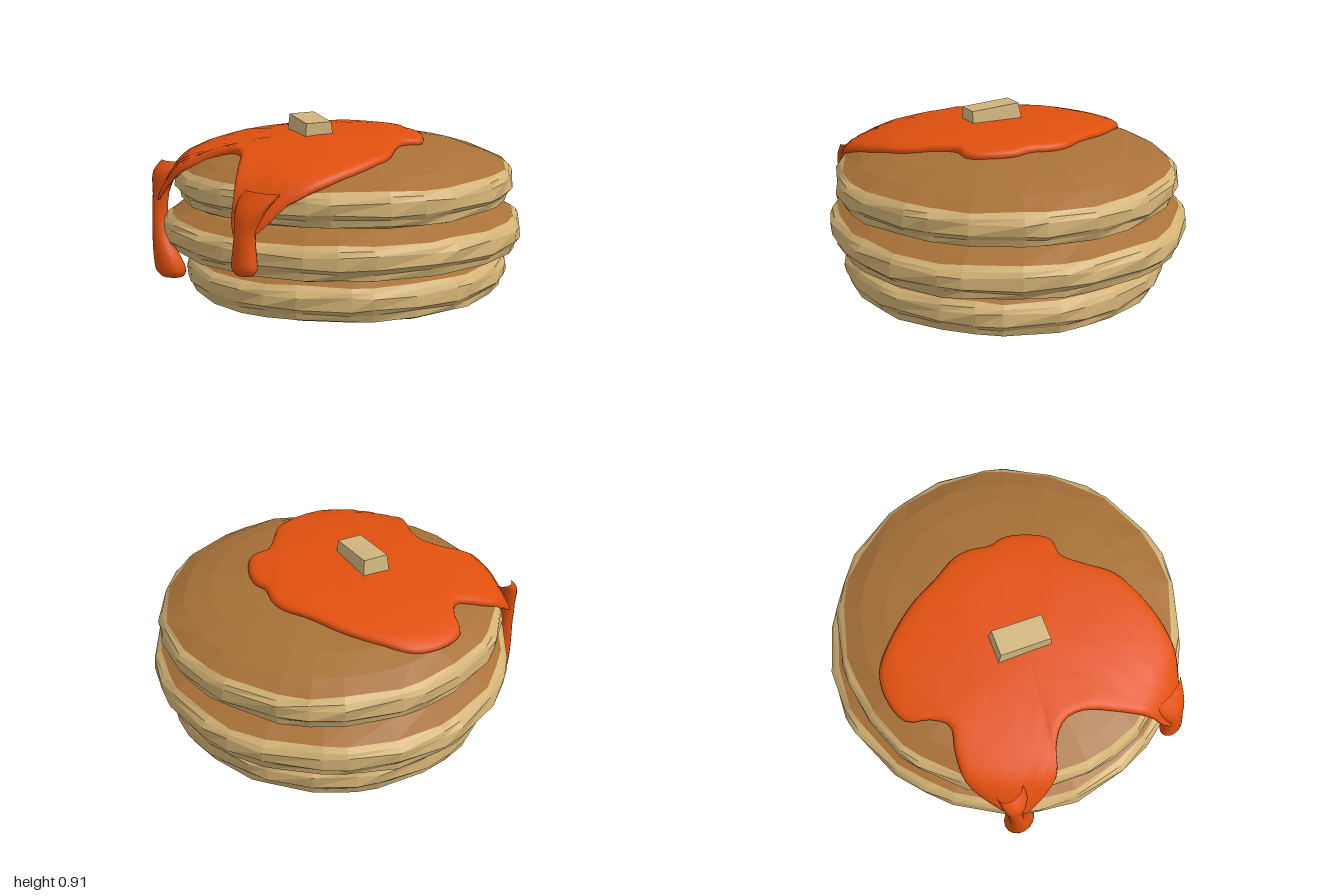
import * as THREE from 'three';

const mat = (name, color, extra = {}) =>
  Object.assign(new THREE.MeshStandardMaterial({ color, ...extra }), { name });

// Skin a list of closed rings (bottom to top, counterclockwise seen from above)
function loft(rings) {
  const n = rings[0].length, pos = [], idx = [];
  rings.forEach(r => r.forEach(p => pos.push(...p)));
  for (let i = 0; i < rings.length - 1; i++) {
    for (let j = 0; j < n; j++) {
      const k = (j + 1) % n, a = i * n + j, b = i * n + k, c = b + n, d = a + n;
      idx.push(a, b, c, a, c, d);
    }
  }
  const g = new THREE.BufferGeometry();
  g.setAttribute('position', new THREE.Float32BufferAttribute(pos, 3));
  g.setIndex(idx);
  g.computeVertexNormals();
  return g;
}

function addMesh(parent, name, geometry, material) {
  const m = new THREE.Mesh(geometry, material);
  m.name = name;
  parent.add(m);
  return m;
}

// Straight-line lookup in a list of [radius, height] pairs
function lookup(table, r) {
  for (let i = 1; i < table.length; i++) {
    const [r0, y0] = table[i - 1], [r1, y1] = table[i];
    if (r <= r1) return y0 + (y1 - y0) * (r - r0) / (r1 - r0);
  }
  return table[table.length - 1][1];
}

// Pancake profile as [radius fraction, height, raggedness]
const UNDERSIDE = [[0, 0.006, 0], [0.5, 0.003, 0], [0.91, 0, 0.014]];
const SIDE = [[0.91, 0, 0.014], [0.965, 0.015, 0.004], [0.975, 0.05, 0.006], [1, 0.075, 0.005],
  [0.998, 0.135, 0.006], [0.982, 0.16, 0.004], [0.955, 0.182, 0.006]];
const DOME = [[0.955, 0.182, 0.006], [0.85, 0.23, 0.002], [0.7, 0.272, 0], [0.5, 0.303, 0],
  [0.25, 0.328, 0], [0, 0.335, 0]];

function pancake({ name, R, x, y, z, seed, top }, mats) {
  const g = new THREE.Group();
  g.name = name;
  g.position.set(x, y, z);
  const n = 28;
  const ring = ([f, h, rag]) => Array.from({ length: n }, (_, j) => {
    const a = (j + 0.25 * Math.sin(j * 2.3 + seed)) / n * Math.PI * 2;
    const wave = 1 + 0.007 * Math.sin(3 * a + seed) + 0.005 * Math.sin(5 * a + seed * 2);
    const r = R * f * wave + rag * Math.sin(j * 2.7 + h * 60 + seed);
    const dy = h > 0.01 ? rag * Math.sin(j * 1.9 + h * 40 + seed * 3) : 0;
    return [r * Math.sin(a), Math.min(h + dy, top), r * Math.cos(a)];
  });
  addMesh(g, 'underside', loft(UNDERSIDE.map(ring)), mats.brown);
  addMesh(g, 'side', loft(SIDE.map(ring)), mats.batter);
  addMesh(g, 'brownedTop', loft(DOME.map(ring)), mats.brown);
  return g;
}

// Syrup outline seen from above, [x, z]
const OUTLINE = [[-0.28, -0.43], [-0.1, -0.425], [0.05, -0.43], [0.13, -0.4], [0.22, -0.33], [0.3, -0.31],
  [0.4, -0.22], [0.46, -0.11], [0.42, -0.02], [0.46, 0.1], [0.53, 0.25], [0.535, 0.38], [0.51, 0.55],
  [0.44, 0.74], [0.36, 0.84], [0.28, 0.93], [0.21, 0.98], [0.13, 0.95], [0.08, 0.88], [-0.02, 0.75],
  [-0.15, 0.6], [-0.25, 0.56], [-0.36, 0.6], [-0.48, 0.7], [-0.62, 0.7], [-0.72, 0.66], [-0.78, 0.5],
  [-0.79, 0.37], [-0.72, 0.24], [-0.64, 0.14], [-0.68, 0.04], [-0.76, -0.05], [-0.74, -0.2],
  [-0.65, -0.33], [-0.5, -0.39]];
// Height of the surface the syrup lies on, by distance from the pancake axis
const DRAPE = [[0, 0.8], [0.23, 0.798], [0.455, 0.775], [0.64, 0.742], [0.775, 0.7], [0.87, 0.655],
  [0.92, 0.6], [0.96, 0.52], [1.02, 0.42]];

function syrupSheet(cx, cz) {
  const curve = new THREE.CatmullRomCurve3(
    OUTLINE.map(([x, z]) => new THREE.Vector3(x, 0, z)).reverse(), true, 'centripetal');
  const edge = curve.getSpacedPoints(112).slice(0, -1);
  const ox = -0.1, oz = 0.2;
  // [scale about the centre, thickness above the pancake], underside lip first
  const rows = [[0.92, -0.03], [0.985, -0.012], [1, 0.008], [0.99, 0.024], [0.965, 0.032], [0.92, 0.034],
    [0.86, 0.033], [0.78, 0.032], [0.68, 0.03], [0.55, 0.028], [0.4, 0.027], [0.2, 0.026], [0, 0.026]];
  return loft(rows.map(([t, h]) => edge.map(p => {
    const x = ox + (p.x - ox) * t, z = oz + (p.z - oz) * t;
    return [x, lookup(DRAPE, Math.hypot(x - cx, z - cz)) + h, z];
  })));
}

// Drip from elliptical sections [x, y, z, radiusX, radiusZ], bottom to top
function drip(sections) {
  const path = new THREE.CatmullRomCurve3(sections.map(s => new THREE.Vector3(s[0], s[1], s[2])));
  const size = new THREE.CatmullRomCurve3(sections.map(s => new THREE.Vector3(s[3], s[4], 0)));
  const steps = (sections.length - 1) * 3, n = 16;
  return loft(Array.from({ length: steps + 1 }, (_, i) => {
    const c = path.getPoint(i / steps), s = size.getPoint(i / steps);
    return Array.from({ length: n }, (_, j) => {
      const a = j / n * Math.PI * 2;
      return [c.x + Math.max(s.x, 0) * Math.sin(a), c.y, c.z + Math.max(s.y, 0) * Math.cos(a)];
    });
  }));
}

export function createModel() {
  const model = new THREE.Group();
  model.name = 'pancakeStack';
  const mats = {
    brown: mat('brownedCrust', 0xa87138, { flatShading: true }),
    batter: mat('paleBatter', 0xd2b275, { flatShading: true }),
    syrup: mat('syrup', 0xe0500e),
    butter: mat('butter', 0xd0b67e, { flatShading: true }),
  };

  // Three stacked pancakes
  [
    { name: 'bottomPancake', R: 0.865, x: 0.02, y: 0, z: -0.025, seed: 1, top: 0.235 },
    { name: 'middlePancake', R: 0.957, x: 0, y: 0.22, z: -0.035, seed: 2.6, top: 0.265 },
    { name: 'topPancake', R: 0.905, x: 0.015, y: 0.47, z: -0.03, seed: 4.1, top: 1 },
  ].forEach(p => model.add(pancake(p, mats)));

  // Syrup pool and its two drips
  const syrup = new THREE.Group();
  syrup.name = 'syrup';
  model.add(syrup);
  addMesh(syrup, 'syrupPool', syrupSheet(0.015, -0.03), mats.syrup);
  addMesh(syrup, 'frontDrip', drip([
    [0.21, 0.25, 0.945, 0, 0], [0.21, 0.262, 0.945, 0.05, 0.035], [0.21, 0.3, 0.947, 0.073, 0.052],
    [0.21, 0.36, 0.945, 0.066, 0.05], [0.21, 0.45, 0.94, 0.058, 0.045], [0.215, 0.56, 0.91, 0.085, 0.05],
    [0.23, 0.65, 0.84, 0.12, 0.04]]), mats.syrup);
  addMesh(syrup, 'cornerDrip', drip([
    [-0.67, 0.02, 0.61, 0, 0], [-0.67, 0.03, 0.61, 0.07, 0.055], [-0.67, 0.07, 0.62, 0.09, 0.075],
    [-0.68, 0.14, 0.635, 0.08, 0.065], [-0.705, 0.24, 0.645, 0.052, 0.05], [-0.72, 0.36, 0.64, 0.036, 0.045],
    [-0.72, 0.48, 0.63, 0.042, 0.045], [-0.7, 0.6, 0.61, 0.075, 0.06], [-0.68, 0.66, 0.56, 0.08, 0.06]]),
  mats.syrup);

  // Butter pat, slightly narrower at the top and tilted
  const pat = new THREE.BoxGeometry(0.29, 0.1, 0.155);
  const p = pat.attributes.position;
  for (let i = 0; i < p.count; i++) {
    if (p.getY(i) > 0) p.setXYZ(i, p.getX(i) * 0.93, p.getY(i), p.getZ(i) * 0.88);
  }
  pat.computeVertexNormals();
  const butter = addMesh(model, 'butterPat', pat, mats.butter);
  butter.position.set(-0.085, 0.845, 0.135);
  butter.rotation.set(0.03, -0.51, -0.07, 'YXZ');
  return model;
}
